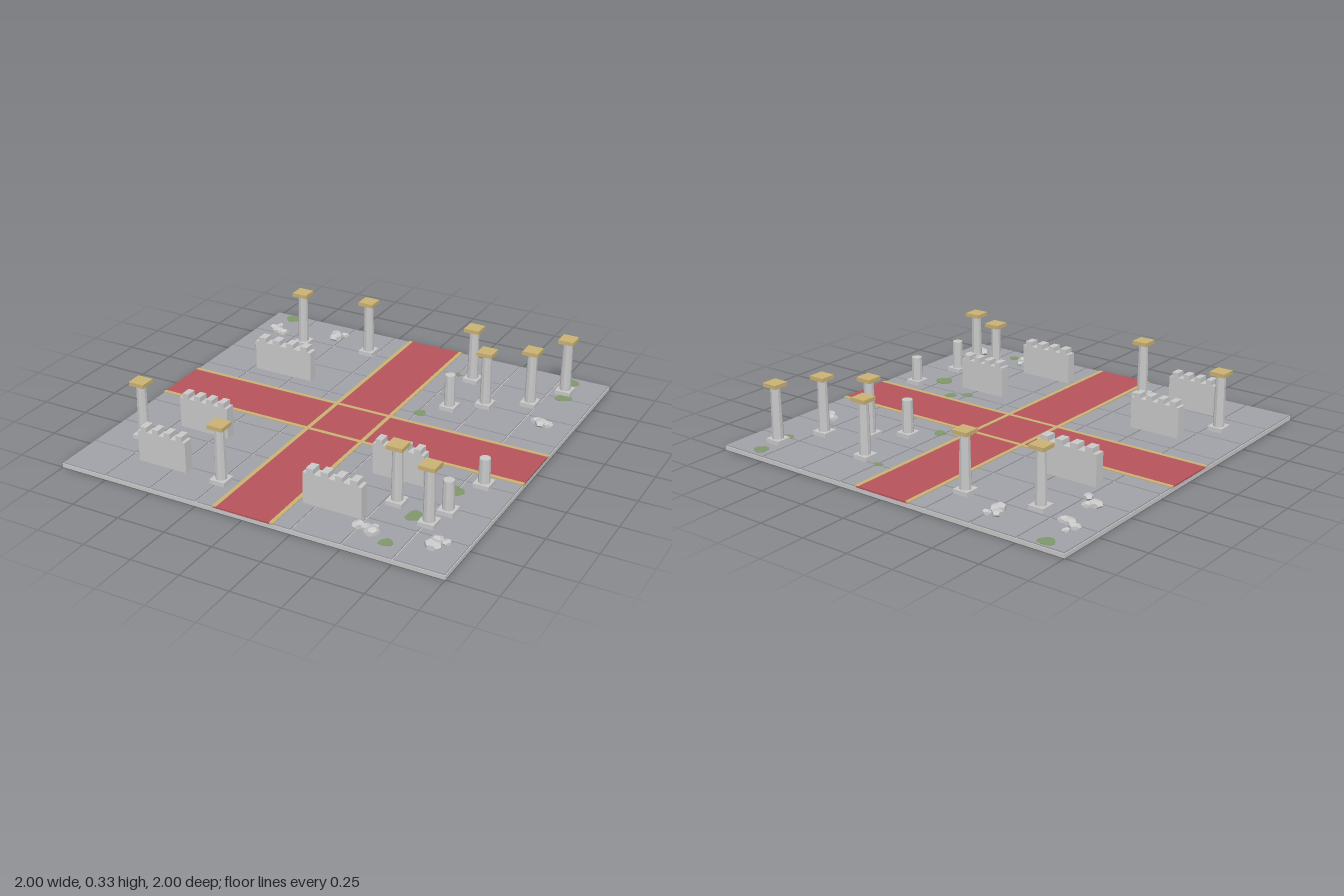
import * as THREE from 'three';

const mat = (name, color) => {
  const m = new THREE.MeshStandardMaterial({ color });
  m.name = name;
  return m;
};

export function createModel() {
  const stone = mat('pale stone', 0xc8c8c8);
  const paving = mat('paving grey', 0xa0a0a8);
  const red = mat('carpet red', 0xb5535b);
  const gold = mat('gold', 0xc9b173);
  const moss = mat('moss green', 0x7f986c);

  const model = new THREE.Group();
  model.name = 'ruinedCourt';
  const FLOOR = 0.026;

  const add = (parent, name, geo, material, x, y, z) => {
    const m = new THREE.Mesh(geo, material);
    m.name = name;
    m.position.set(x, y, z);
    parent.add(m);
    return m;
  };
  // box whose bottom sits at y
  const box = (parent, name, material, w, h, d, x, y, z) =>
    add(parent, name, new THREE.BoxGeometry(w, h, d), material, x, y + h / 2, z);
  const group = (name, x = 0, y = 0, z = 0) => {
    const g = new THREE.Group();
    g.name = name;
    g.position.set(x, y, z);
    model.add(g);
    return g;
  };
  const faceted = (geo) => {
    const g = geo.toNonIndexed();
    g.computeVertexNormals();
    return g;
  };

  // slab and paving tiles with narrow joints
  box(model, 'slab', stone, 2, 0.02, 2, 0, 0, 0);
  const tiles = group('pavingTiles');
  for (let i = 0; i < 8; i++)
    for (let j = 0; j < 8; j++)
      box(tiles, 'tile', paving, 0.242, FLOOR - 0.02, 0.242, -0.875 + i * 0.25, 0.02, -0.875 + j * 0.25);

  // crossing carpets with gold borders
  box(model, 'carpetAlongX', red, 2, 0.008, 0.3, 0, 0.0202, 0);
  for (const s of [-1, 1])
    box(model, 'carpetAlongZ', red, 0.3, 0.008, 0.85, 0, 0.0202, s * 0.575);
  for (const s of [-1, 1]) {
    box(model, 'borderAlongX', gold, 2, 0.0092, 0.021, 0, 0.0202, s * 0.15);
    box(model, 'borderAlongZ', gold, 0.021, 0.0095, 2, s * 0.15, 0.0202, 0);
  }

  // columns: plinth, faceted shaft, optional gold capital
  const column = (x, z, top, whole) => {
    const g = group(whole ? 'column' : 'brokenColumn', x, FLOOR, z);
    const capH = whole ? 0.02 : 0;
    const shaftH = top - FLOOR - 0.022 - capH;
    box(g, 'plinth', stone, 0.08, 0.022, 0.08, 0, 0, 0);
    const shaft = faceted(new THREE.CylinderGeometry(whole ? 0.025 : 0.027, 0.029, shaftH, 10));
    add(g, 'shaft', shaft, stone, 0, 0.022 + shaftH / 2, 0);
    if (whole) box(g, 'capital', gold, 0.082, capH, 0.082, 0, 0.022 + shaftH, 0);
  };
  [[-0.663, -0.7], [-0.29, -0.76], [0.347, -0.72], [0.715, -0.61], [0.823, -0.82],
    [0.52, -0.49], [-0.807, 0.605], [-0.24, 0.795], [0.56, 0.577], [0.765, 0.67],
  ].forEach(([x, z]) => column(x, z, 0.333, true));
  [[0.373, -0.378, 0.215], [0.842, 0.248, 0.173], [0.797, 0.54, 0.195],
  ].forEach(([x, z, top]) => column(x, z, top, false));

  // battlement walls with four merlons each: x, z, length
  [[-0.562, -0.337, 0.33], [-0.575, 0.4, 0.272], [-0.56, 0.78, 0.264],
    [0.468, 0.363, 0.265], [0.334, 0.75, 0.3],
  ].forEach(([x, z, len]) => {
    const g = group('battlementWall', x, FLOOR, z);
    box(g, 'wallBody', stone, len, 0.16, 0.054, 0, 0, 0);
    for (let i = 0; i < 4; i++)
      box(g, 'merlon', stone, len / 8, 0.026, 0.056, ((i + 0.5) / 4 - 0.5) * len, 0.16, 0);
  });

  // rubble stones: x, z, radius
  const rubble = group('rubble');
  [[-0.9, -0.785, 0.03], [-0.888, -0.83, 0.02], [-0.86, -0.76, 0.034], [-0.825, -0.752, 0.03],
    [-0.552, -0.87, 0.03], [-0.505, -0.885, 0.023], [-0.53, -0.83, 0.04],
    [-0.845, -0.54, 0.036], [-0.815, -0.56, 0.028], [-0.77, -0.487, 0.027],
    [0.82, -0.445, 0.03], [0.85, -0.425, 0.036], [0.88, -0.43, 0.03],
    [0.502, 0.838, 0.032], [0.545, 0.842, 0.03], [0.582, 0.863, 0.036], [0.575, 0.82, 0.023],
    [0.86, 0.785, 0.032], [0.905, 0.78, 0.023], [0.863, 0.838, 0.042],
  ].forEach(([x, z, r], i) => {
    const m = add(rubble, 'rubbleStone', new THREE.DodecahedronGeometry(r), stone, x, FLOOR + r * 0.4, z);
    m.scale.set(1.05, 0.6, 0.9);
    m.rotation.y = i * 1.3;
  });

  // moss: thin irregular patches, x, z, radius
  const mossGroup = group('mossPatches');
  [[-0.877, -0.955, 0.04], [0.818, -0.94, 0.038], [0.84, -0.76, 0.042], [0.245, -0.745, 0.022],
    [0.267, -0.26, 0.032], [0.572, 0.2, 0.032], [0.503, 0.254, 0.029], [0.743, 0.356, 0.047],
    [0.68, 0.64, 0.043], [0.668, 0.895, 0.032],
  ].forEach(([x, z, r], k) => {
    const pts = [];
    for (let i = 0; i < 10; i++) {
      const a = (i / 10) * Math.PI * 2;
      const q = r * (1 + 0.12 * Math.sin(3 * a + k) + 0.08 * Math.cos(2 * a + 2 * k));
      pts.push(new THREE.Vector2(Math.cos(a) * q, Math.sin(a) * q));
    }
    const geo = new THREE.ExtrudeGeometry(new THREE.Shape(pts), { depth: 0.002, bevelEnabled: false });
    geo.rotateX(-Math.PI / 2);
    add(mossGroup, 'mossPatch', geo, moss, x, FLOOR, z);
  });

  return model;
}
